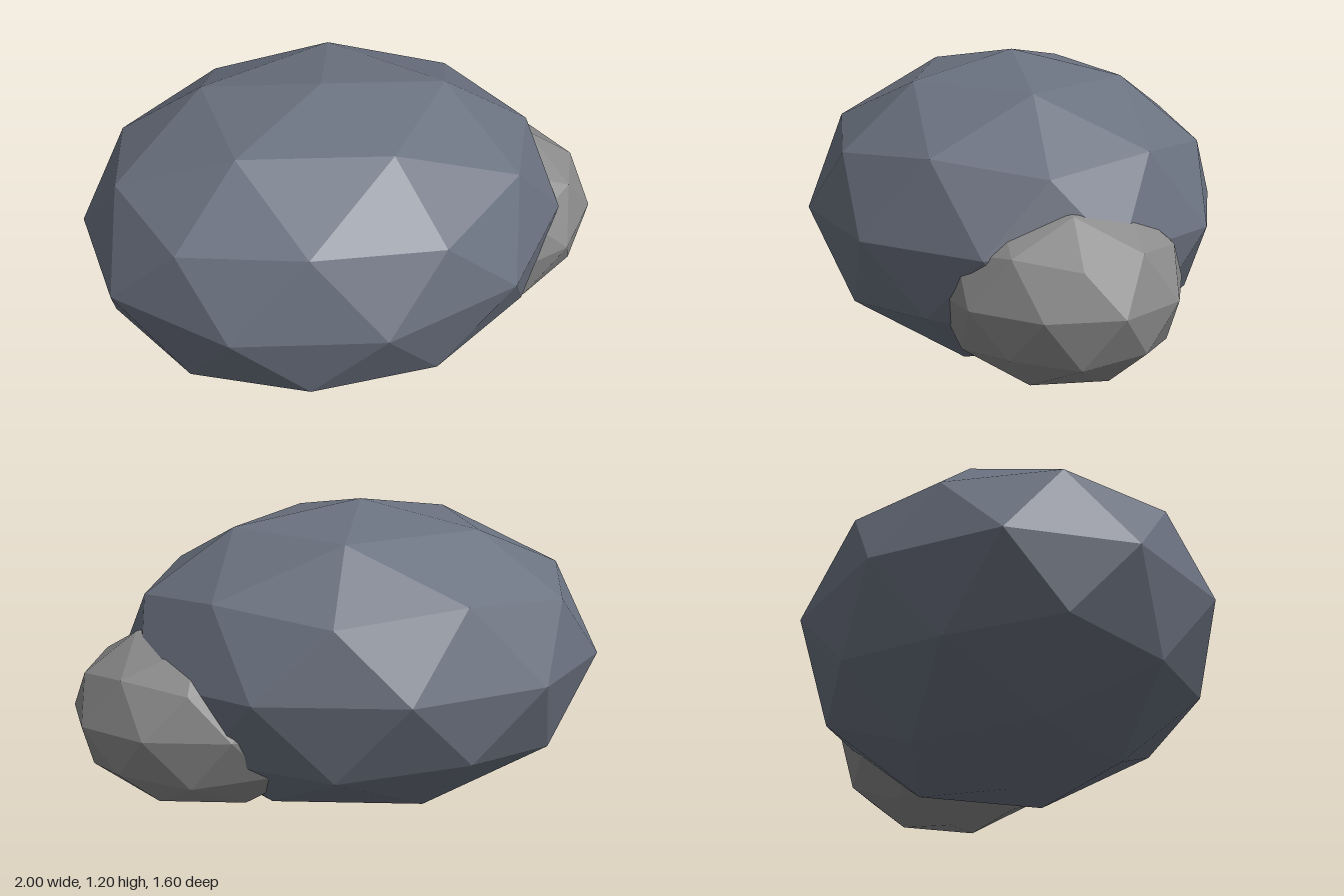
import * as THREE from 'three';

// Faceted ball with a corner at each pole: a five-sided icosahedron split once
function facetedBall(rx, ry, rz) {
  const h = 1 / Math.sqrt(5), r = 2 * h;
  const corners = [0, 1, 0];
  for (const [y, turn] of [[h, 0], [-h, Math.PI / 5]]) {
    for (let k = 0; k < 5; k++) {
      const a = turn + (k * Math.PI * 2) / 5;
      corners.push(r * Math.cos(a), y, -r * Math.sin(a));
    }
  }
  corners.push(0, -1, 0);

  const faces = [];
  for (let k = 0; k < 5; k++) {
    const n = (k + 1) % 5;
    const u = 1 + k, un = 1 + n, l = 6 + k, ln = 6 + n;
    faces.push(0, u, un, u, l, un, l, ln, un, ln, l, 11);
  }
  const geometry = new THREE.PolyhedronGeometry(corners, faces, 1, 1);
  geometry.scale(rx, ry, rz);
  geometry.computeVertexNormals(); // unshared corners give flat facets
  return geometry;
}

export function createModel() {
  const group = new THREE.Group();
  group.name = 'rocks';

  const slate = new THREE.MeshStandardMaterial({ color: 0x6b7280 });
  slate.name = 'slate';
  const grey = new THREE.MeshStandardMaterial({ color: 0x8c8c8c });
  grey.name = 'grey';

  const addRock = (name, radii, position, material) => {
    const rock = new THREE.Mesh(facetedBall(...radii), material);
    rock.name = name;
    rock.position.set(...position);
    group.add(rock);
  };

  // Large boulder with a smaller stone leaning into its side
  addRock('boulder', [0.936, 0.6, 0.8], [-0.11, 0.6, 0], slate);
  addRock('smallStone', [0.536, 0.37, 0.467], [0.49, 0.43, -0.075], grey);

  return group;
}
